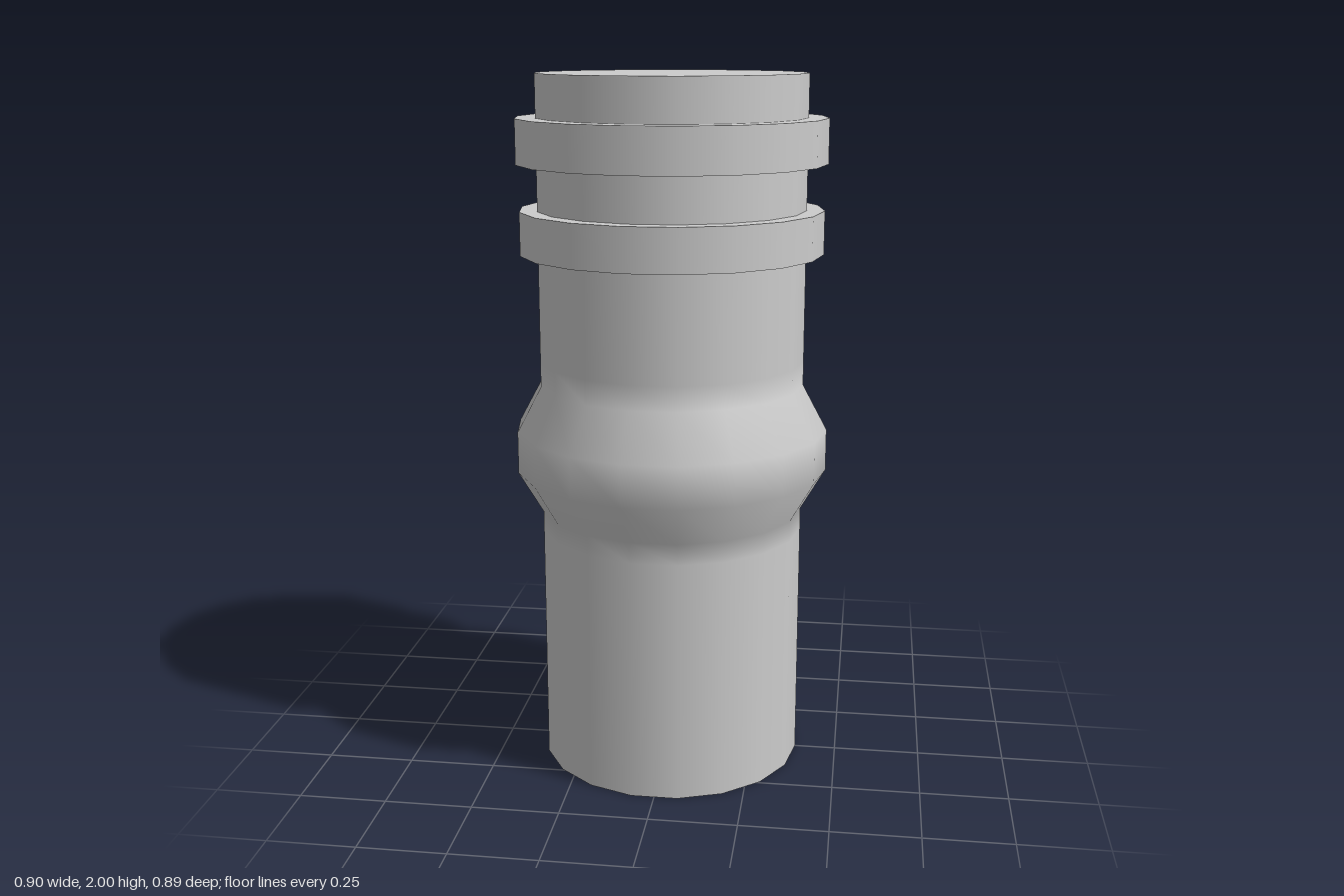
import * as THREE from 'three';

const SIDES = 18;

export function createModel() {
  const model = new THREE.Group();
  const grey = new THREE.MeshStandardMaterial({ color: 0xcccccc });
  grey.name = 'light grey';

  const add = (name, geometry, y = 0) => {
    const mesh = new THREE.Mesh(geometry, grey);
    mesh.name = name;
    mesh.position.y = y;
    model.add(mesh);
    return mesh;
  };

  // Tube wall with a smooth bulge around the middle; the extra rows keep the straight runs straight
  const profile = [
    [0.38, 0], [0.38, 0.7], [0.38, 0.76], [0.45, 0.88],
    [0.45, 1.0], [0.38, 1.13], [0.38, 1.2], [0.38, 2],
  ].map(([r, y]) => new THREE.Vector2(r, y));
  add('bulgedBody', new THREE.LatheGeometry(profile, SIDES, Math.PI / 2));

  // Flat end caps, with a corner on the x axis like the wall
  const cap = new THREE.CircleGeometry(0.38, SIDES);
  add('topCap', cap, 2).rotation.x = -Math.PI / 2;
  add('bottomCap', cap, 0).rotation.x = Math.PI / 2;

  // Two raised collars near the top
  const collars = [
    ['upperCollar', 0.437, 1.755, 1.88],
    ['lowerCollar', 0.43, 1.505, 1.627],
  ];
  for (const [name, r, y0, y1] of collars) {
    add(name, new THREE.CylinderGeometry(r, r, y1 - y0, SIDES, 1, false, Math.PI / 2), (y0 + y1) / 2);
  }

  return model;
}
